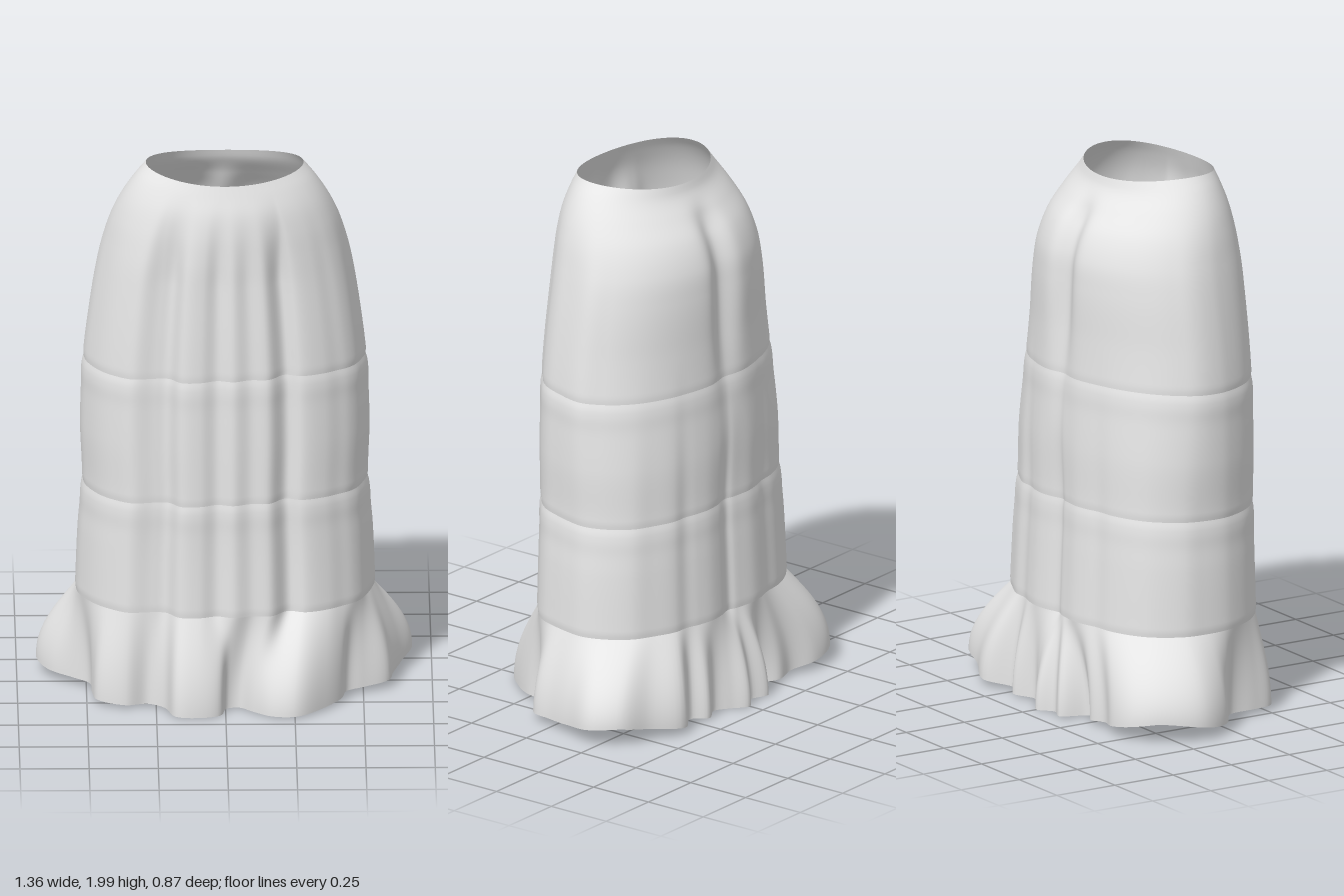
import * as THREE from 'three';

// Outlines seen from above as x, z pairs, starting at the centre back and going round past +x.
const BODY = [
  0, -.325, .06, -.34, .12, -.345, .18, -.335, .23, -.32, .29, -.315, .37, -.28, .44, -.24, .50, -.16,
  .525, -.08, .515, 0, .50, .06, .48, .12, .45, .165, .41, .20, .36, .24, .28, .272, .22, .255,
  .16, .315, .09, .315, .03, .335, -.03, .315, -.09, .335, -.16, .33, -.21, .27, -.26, .265, -.34, .27,
  -.41, .22, -.46, .16, -.50, .08, -.515, .03, -.52, -.05, -.51, -.13, -.45, -.23, -.38, -.28,
  -.30, -.31, -.23, -.32, -.18, -.335, -.12, -.345, -.06, -.34, -.03, -.335,
];
const HEM = [
  0, -.44, .06, -.40, .12, -.37, .20, -.41, .26, -.37, .37, -.43, .50, -.37, .62, -.33, .68, -.23,
  .64, -.10, .61, 0, .59, .09, .50, .14, .44, .17, .42, .25, .36, .34, .26, .43, .17, .42,
  .10, .36, .05, .31, .005, .32, -.02, .40, -.10, .43, -.18, .42, -.22, .32, -.28, .28, -.36, .31,
  -.46, .27, -.48, .19, -.49, .08, -.55, .03, -.63, -.03, -.68, -.15, -.64, -.28, -.55, -.38,
  -.44, -.40, -.34, -.365, -.26, -.375, -.19, -.335, -.13, -.425, -.06, -.40,
];

// Silhouette by height: half width, front z, back z
const HEIGHTS = [.36, .6, .78, 1, 1.25, 1.4, 1.6, 1.7, 1.8, 1.88, 1.95, 1.99];
const SIZES = [
  .54, .345, -.36, .53, .34, -.35, .515, .34, -.342, .522, .34, -.347, .512, .335, -.342, .495, .33, -.34,
  .463, .32, -.338, .44, .315, -.327, .408, .305, -.288, .368, .29, -.232, .32, .268, -.182, .285, .255, -.168,
];
const size = new THREE.CubicInterpolant(HEIGHTS, SIZES, 3, new Float32Array(3));
const SEAMS = [.36, .78, 1.25];
const COLUMNS = 246;
const { smoothstep, lerp } = THREE.MathUtils;

function ring(pairs) {
  const points = [];
  for (let i = 0; i < pairs.length; i += 2) points.push(new THREE.Vector3(pairs[i], 0, pairs[i + 1]));
  const curve = new THREE.CatmullRomCurve3(points, true, 'centripetal');
  return Array.from({ length: COLUMNS }, (_, i) => curve.getPoint(i / COLUMNS));
}
const body = ring(BODY);
const hem = ring(HEM);

// Point on the fitted part of the skirt
function bodyPoint(i, y) {
  const [w, front, back] = size.evaluate(y);
  const mid = (front + back) / 2, depth = (front - back) / 2;
  const nx = body[i].x / .52, nz = body[i].z / .34;
  const angle = Math.atan2(nx, nz);
  // folds reach the waist in front but smooth out over the hips behind
  const frontFolds = 1 - smoothstep(y, 1.6, 1.96);
  const backFolds = 1 - smoothstep(y, .65, 1.45);
  const folds = lerp(backFolds, frontFolds, smoothstep(nz, -.4, .1));
  let x = lerp(Math.sin(angle), nx, folds) * w;
  let z = lerp(Math.cos(angle), nz, folds) * depth;
  // hollow down the centre back
  if (z < 0) {
    const hollow = smoothstep(y, 1.0, 1.6) * (1 - smoothstep(y, 1.8, 1.95));
    z *= 1 - .13 * hollow * Math.exp(-((x / .06) ** 2));
  }
  // stitched seams: a narrow groove with fuller cloth just below
  let swell = 1;
  for (const s of SEAMS) {
    swell -= .007 * Math.exp(-(((y - s) / .012) ** 2));
    swell += .006 * Math.exp(-(((y - s + .05) / .04) ** 2));
  }
  x *= swell;
  z = mid + z * swell;
  // waist edge rises at the sides, seams sway slightly
  const rise = (.025 * Math.sin(angle) ** 2 - .015) * smoothstep(y, 1.75, 1.99);
  const sway = .007 * Math.sin(angle * 2 + .6) * (1 - smoothstep(y, 1.3, 1.7)) * smoothstep(y, .4, .7);
  return new THREE.Vector3(x, y + rise + sway, z);
}

// Point on the flounce, t = 0 at the hem and 1 at its seam
function flouncePoint(i, t) {
  const top = bodyPoint(i, SEAMS[0]);
  const edge = hem[i];
  const flare = Math.sin((1 - t) * Math.PI / 2);
  // the hem lifts towards the sides, most of all behind
  const lift = .032 + .038 * smoothstep(-edge.z, 0, .33);
  const hemY = .01 + lift * Math.min(1, (edge.x / .62) ** 2);
  return new THREE.Vector3(
    lerp(top.x, edge.x, flare), lerp(hemY, top.y, t), lerp(top.z, edge.z, flare));
}

function cloth(name, rows, pointAt, material) {
  const positions = [], index = [];
  for (let j = 0; j <= rows; j++)
    for (let i = 0; i < COLUMNS; i++) positions.push(...pointAt(i, j / rows).toArray());
  for (let j = 0; j < rows; j++) {
    for (let i = 0; i < COLUMNS; i++) {
      const n = (i + 1) % COLUMNS;
      const a = j * COLUMNS + i, b = j * COLUMNS + n, c = a + COLUMNS, d = b + COLUMNS;
      index.push(a, c, b, b, c, d);
    }
  }
  const geometry = new THREE.BufferGeometry();
  geometry.setAttribute('position', new THREE.Float32BufferAttribute(positions, 3));
  geometry.setIndex(index);
  geometry.computeVertexNormals();
  const mesh = new THREE.Mesh(geometry, material);
  mesh.name = name;
  return mesh;
}

export function createModel() {
  const group = new THREE.Group();
  group.name = 'tieredSkirt';
  const fabric = new THREE.MeshStandardMaterial({ color: 0xe7e7e7, side: THREE.DoubleSide });
  fabric.name = 'paleGreyFabric';

  const tier = (name, low, high, rows) =>
    group.add(cloth(name, rows, (i, t) => bodyPoint(i, lerp(low, high, t)), fabric));

  group.add(cloth('flounce', 24, flouncePoint, fabric));
  tier('lowerTier', SEAMS[0], SEAMS[1], 40);
  tier('middleTier', SEAMS[1], SEAMS[2], 44);
  tier('hipYoke', SEAMS[2], 1.99, 60);
  return group;
}
